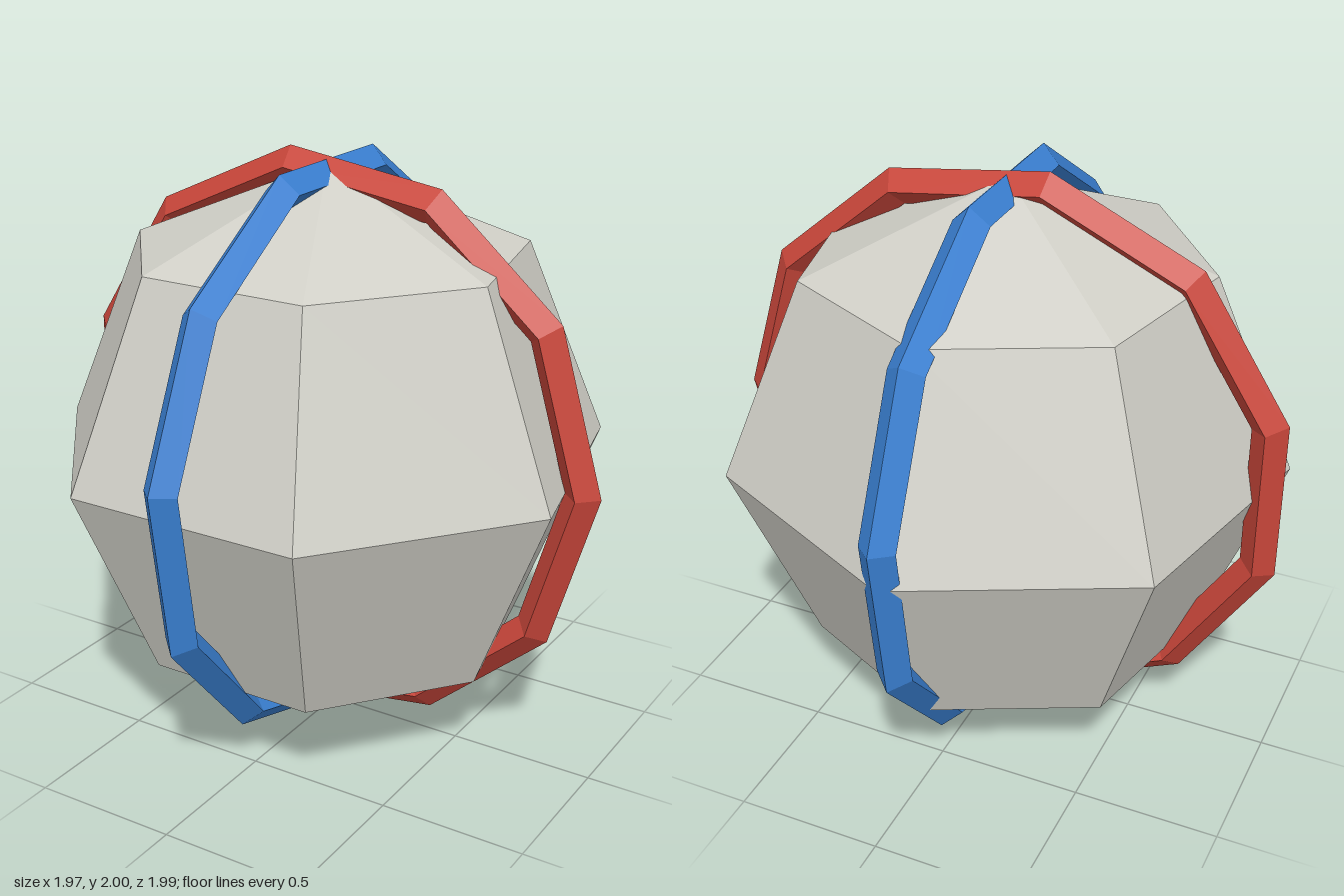
import * as THREE from 'three';

export function createModel() {
  const group = new THREE.Group();
  group.name = 'ringedBall';

  const material = (name, color) => {
    const m = new THREE.MeshStandardMaterial({ color, flatShading: true });
    m.name = name;
    return m;
  };
  const add = (name, geometry, mat) => {
    const mesh = new THREE.Mesh(geometry, mat);
    mesh.name = name;
    mesh.position.set(-0.02, 1.005, 0);
    group.add(mesh);
  };

  // Diamond-section band with eleven straight pieces, in the XY plane
  const ring = () => new THREE.TorusGeometry(0.942, 0.063, 4, 11);

  // Seven-sided ball with one corner line facing the back
  add('ball', new THREE.SphereGeometry(0.955, 7, 4, -Math.PI / 2), material('warm grey', 0xd0cfc7));

  // Band running left to right over the poles, a corner on the left
  add('sideRing', ring(), material('red', 0xc8463a));

  // Band running front to back over the poles, a corner at the bottom
  add('frontRing', ring().rotateZ(-Math.PI / 2).rotateY(Math.PI / 2), material('blue', 0x3a80d2));

  return group;
}
